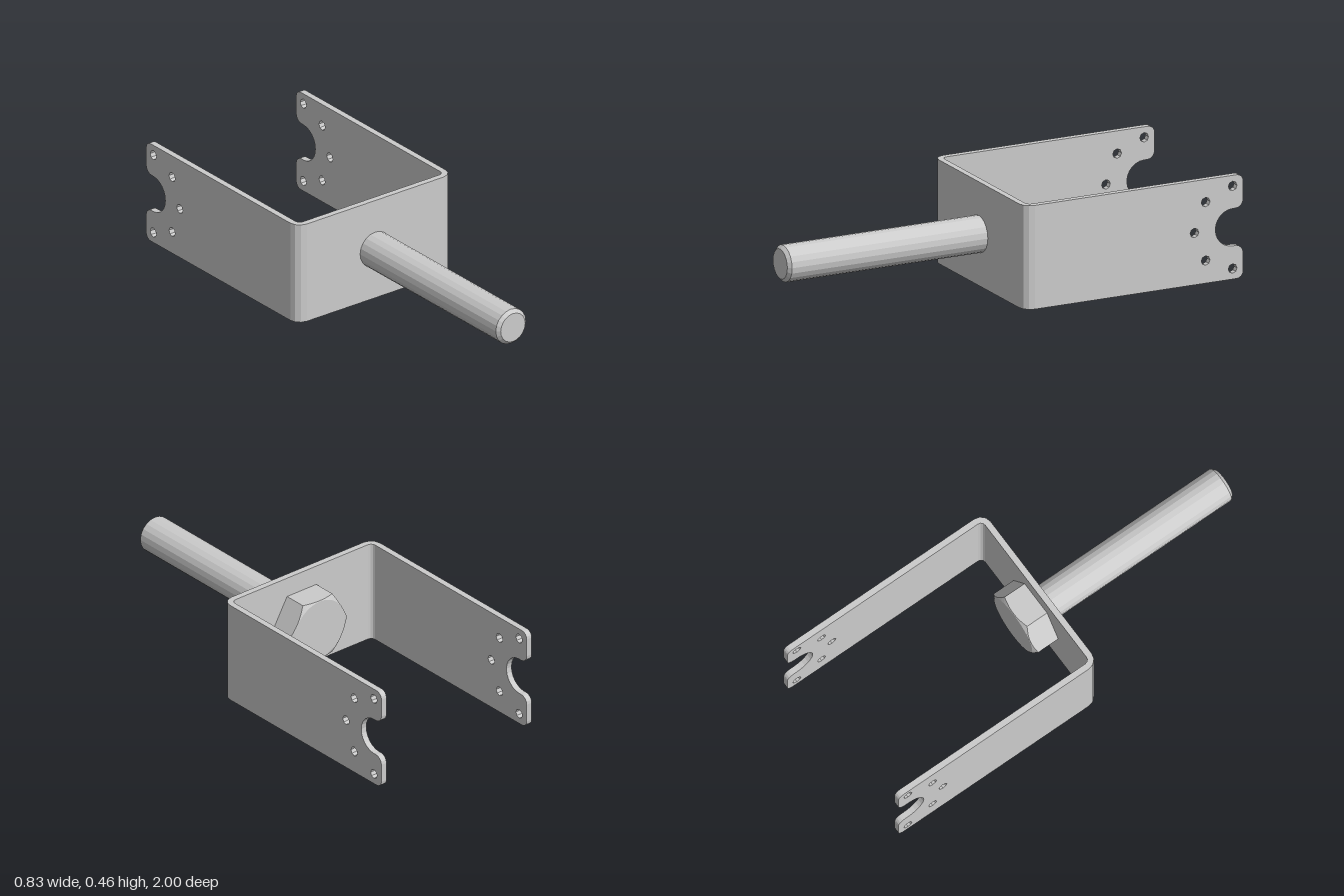
import * as THREE from 'three';

const H = 0.46, MID = H / 2;          // bracket height and axis height
const W = 0.417, T = 0.028;           // half width, sheet thickness
const R = 0.05, BEND_Z = -0.003;      // outer bend radius, bend centre
const PI = Math.PI;

// Points along an arc from angle a0 to a1, both ends included
function arc(cx, cy, r, a0, a1, segments) {
  return Array.from({ length: segments + 1 }, (_, i) => {
    const a = a0 + ((a1 - a0) * i) / segments;
    return new THREE.Vector2(cx + r * Math.cos(a), cy + r * Math.sin(a));
  });
}

// Side plate outline: u runs backwards, v runs up
function plateGeometry() {
  const c = 0.03, e = 0.035, n = 0.083, cu = 0.95;
  const s = new THREE.Shape([
    new THREE.Vector2(-BEND_Z, 0),
    ...arc(1 - c, c, c, -PI / 2, 0, 4),
    ...arc(1 - e, MID - n - e, e, 0, PI / 2, 4),
    ...arc(cu, MID, n, -PI / 2, -PI * 1.5, 12),
    ...arc(1 - e, MID + n + e, e, -PI / 2, 0, 4),
    ...arc(1 - c, H - c, c, 0, PI / 2, 4),
    new THREE.Vector2(-BEND_Z, H),
  ]);
  // Five screw holes around the notch
  for (const centre of arc(cu, MID, 0.183, PI / 2, PI * 1.5, 4)) {
    const rim = arc(centre.x, centre.y, 0.021, 0, -PI * 2, 8).slice(0, -1);
    s.holes.push(new THREE.Path(rim));
  }
  const g = new THREE.ExtrudeGeometry(s, { depth: T, bevelEnabled: false });
  return g.rotateY(PI / 2);
}

// Front web with both bends, drawn in plan (x, -z) and extruded upwards
function webGeometry() {
  const x = W - R, y = -BEND_Z, r = R - T;
  const s = new THREE.Shape([
    ...arc(-x, y, R, PI, PI * 1.5, 3),
    ...arc(x, y, R, -PI / 2, 0, 3),
    ...arc(x, y, r, 0, -PI / 2, 3),
    ...arc(-x, y, r, -PI / 2, -PI, 3),
  ]);
  const g = new THREE.ExtrudeGeometry(s, { depth: H, bevelEnabled: false });
  return g.rotateX(-PI / 2);
}

// Hexagonal head whose corners are cut by a cone
function headGeometry() {
  const N = 48, a = 0.141, front = 0.019, back = -0.1;
  const hex = t => a / Math.cos((t % (PI / 3)) - PI / 6);
  const rings = [
    () => [0, front],
    t => [hex(t), front],
    t => [hex(t), back + (hex(t) - a + 0.003) * 0.6],
    () => [a - 0.003, back],
    () => [0, back],
  ];
  const pos = [], idx = [];
  rings.forEach((ring, i) => {
    for (let j = 0; j < N; j++) {
      const t = (j / N) * PI * 2;
      const [r, z] = ring(t);
      pos.push(r * Math.cos(t), r * Math.sin(t), z);
      if (i === rings.length - 1) continue;
      const p = i * N + j, q = i * N + ((j + 1) % N);
      if (i > 0) idx.push(p, p + N, q);
      if (i < rings.length - 2) idx.push(p + N, q + N, q);
    }
  });
  const g = new THREE.BufferGeometry();
  g.setAttribute('position', new THREE.Float32BufferAttribute(pos, 3));
  g.setIndex(idx);
  const flat = g.toNonIndexed();
  flat.computeVertexNormals();
  return flat;
}

// Plain shaft along +z with a chamfered end
function shaftGeometry() {
  const profile = [[0, 0], [0.081, 0], [0.081, 0.985], [0.066, 1], [0, 1]]
    .map(([r, z]) => new THREE.Vector2(r, z));
  return new THREE.LatheGeometry(profile, 20).rotateX(PI / 2);
}

export function createModel() {
  const model = new THREE.Group();
  model.name = 'bracketWithBolt';
  const material = new THREE.MeshStandardMaterial({ color: 0xcccccc, flatShading: true });
  const add = (parent, name, geometry, x = 0, y = 0) => {
    const mesh = new THREE.Mesh(geometry, material);
    mesh.name = name;
    mesh.position.set(x, y, 0);
    parent.add(mesh);
  };

  // U-shaped bracket
  const bracket = new THREE.Group();
  bracket.name = 'bracket';
  const plate = plateGeometry();
  add(bracket, 'leftPlate', plate, W - T);
  add(bracket, 'rightPlate', plate, -W);
  add(bracket, 'frontWeb', webGeometry());

  // Bolt through the web
  const bolt = new THREE.Group();
  bolt.name = 'bolt';
  add(bolt, 'boltHead', headGeometry(), 0, MID);
  add(bolt, 'boltShaft', shaftGeometry(), 0, MID);

  model.add(bracket, bolt);
  return model;
}
